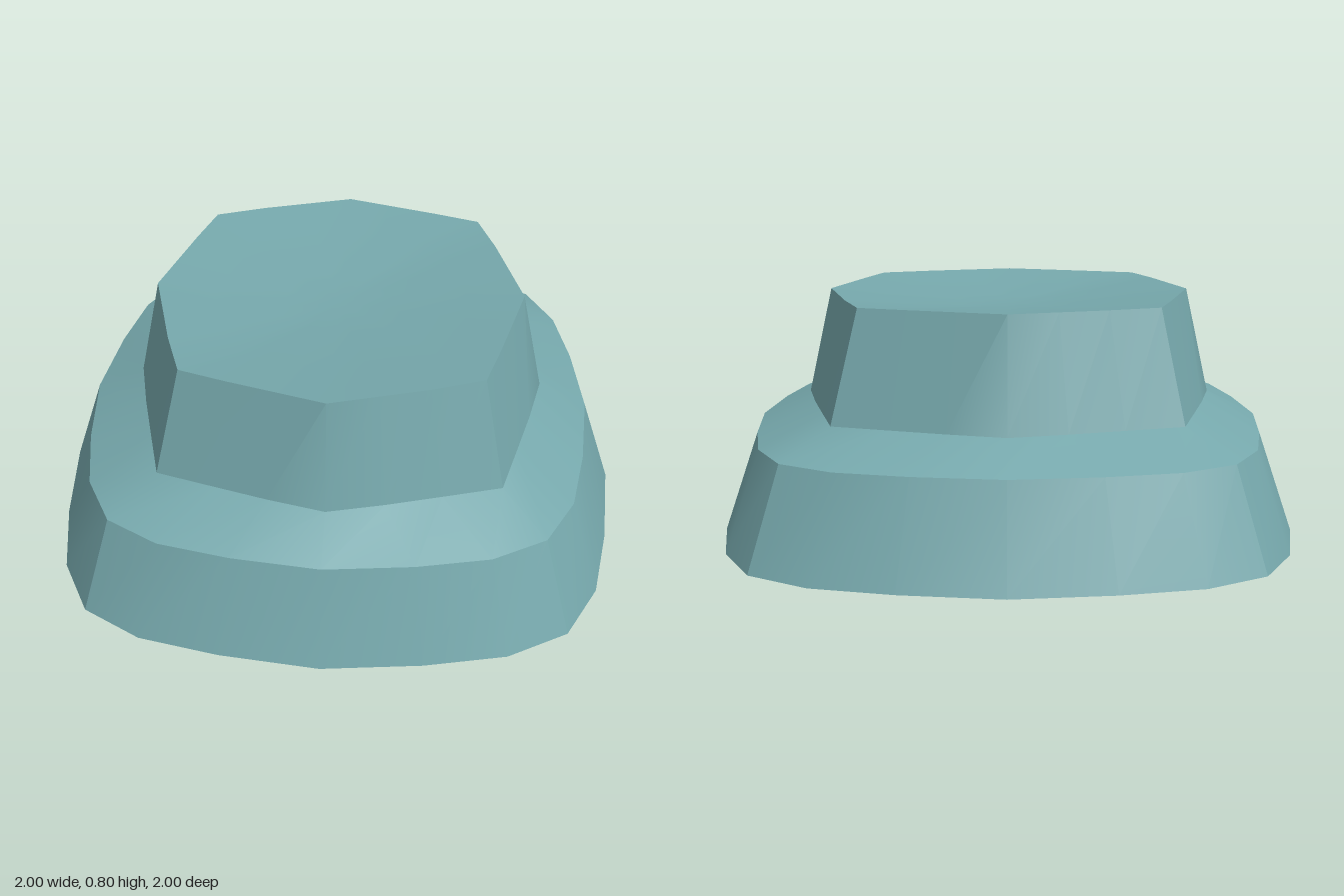
import * as THREE from 'three';
import { mergeVertices, toCreasedNormals } from 'three/addons/utils/BufferGeometryUtils.js';

// One quarter of each outline as [x, z], running from the x axis towards the z axis
const footQuarter = [[1, 0], [0.965, 0.33], [0.91, 0.6], [0.8, 0.8], [0.6, 0.91], [0.33, 0.965]];
const neckQuarter = [[0.715, 0], [0.67, 0.19], [0.62, 0.37], [0.565, 0.565], [0.37, 0.62], [0.19, 0.67]];
const rimQuarter = [[0.63, 0], [0.585, 0.16], [0.54, 0.32], [0.49, 0.48], [0.32, 0.54], [0.16, 0.585]];

// Repeat a quarter outline around the y axis at a given height
function ring(quarter, y, scale = 1) {
  const points = [];
  for (let q = 0; q < 4; q++) {
    for (const [px, pz] of quarter) {
      let x = px * scale, z = pz * scale;
      for (let k = 0; k < q; k++) [x, z] = [-z, x];
      points.push([x, y, z]);
    }
  }
  return points;
}

// Skin a stack of rings, listed from bottom to top
function loft(rings) {
  const n = rings[0].length, index = [];
  for (let r = 0; r < rings.length - 1; r++) {
    for (let i = 0; i < n; i++) {
      const a = r * n + i, b = r * n + (i + 1) % n;
      index.push(a, a + n, b, b, a + n, b + n);
    }
  }
  const geometry = new THREE.BufferGeometry();
  geometry.setAttribute('position', new THREE.Float32BufferAttribute(rings.flat(2), 3));
  geometry.setIndex(index);
  return toCreasedNormals(mergeVertices(geometry), 0.52);
}

export function createModel() {
  const model = new THREE.Group();
  const teal = new THREE.MeshStandardMaterial({ color: 0x76a8ac });
  teal.name = 'dusty teal';

  const add = (name, rings) => {
    const mesh = new THREE.Mesh(loft(rings), teal);
    mesh.name = name;
    model.add(mesh);
  };

  // Nearly flat underside, then the flared foot and its sloping shoulder
  add('foot', [
    ring(footQuarter, 0, 0),
    ring(footQuarter, 0, 0.6),
    ring(footQuarter, 0.01),
    ring(footQuarter, 0.34, 0.885),
    ring(neckQuarter, 0.425),
  ]);

  // Tapered upper tier with a shallow dished top
  add('upperTier', [
    ring(neckQuarter, 0.425),
    ring(rimQuarter, 0.795),
    ring(rimQuarter, 0.775, 0.7),
    ring(rimQuarter, 0.75, 0.3),
    ring(rimQuarter, 0.745, 0),
  ]);
  return model;
}
